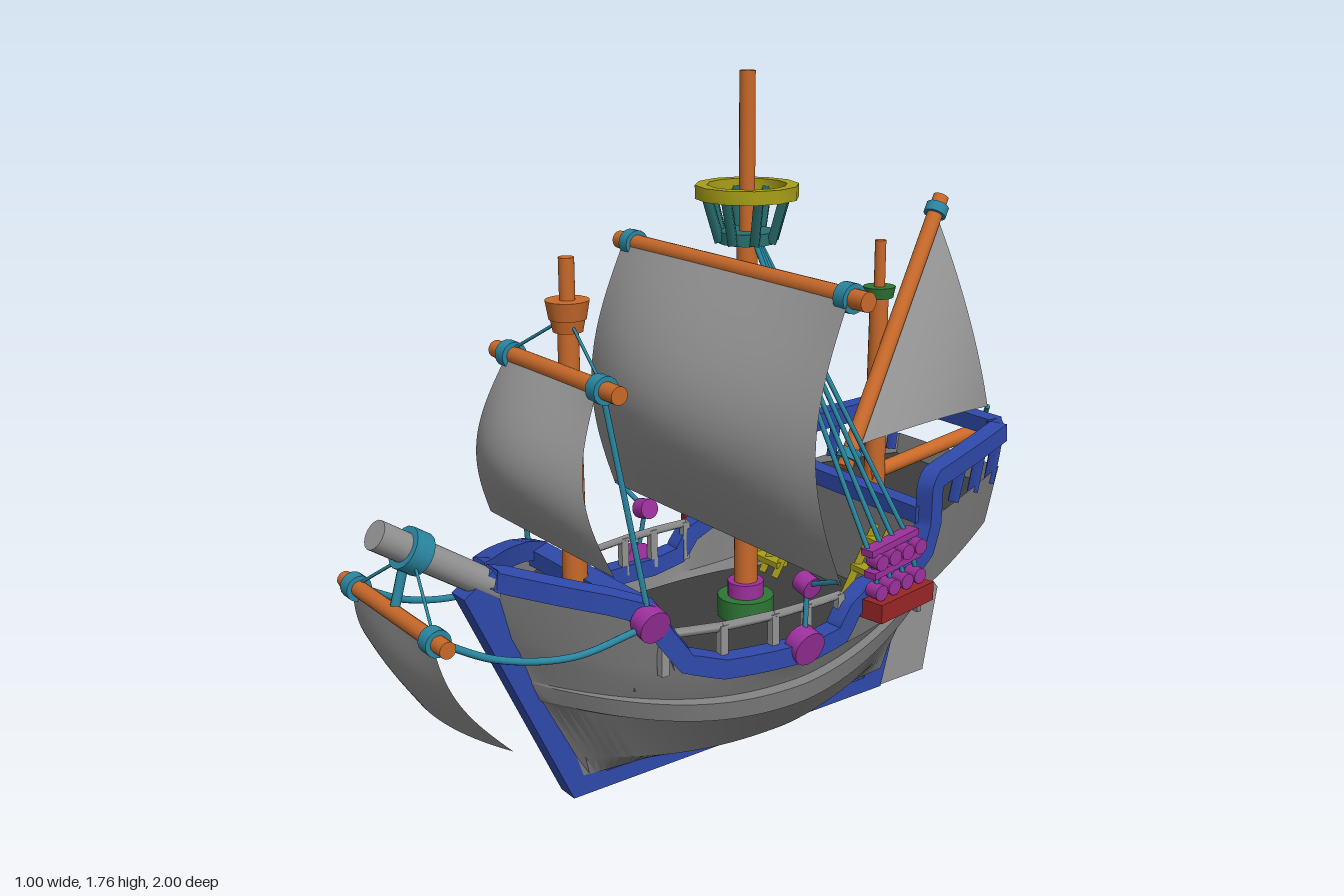
import * as THREE from 'three';
import { toCreasedNormals } from 'three/addons/utils/BufferGeometryUtils.js';

const V = (x, y, z) => new THREE.Vector3(x, y, z);
const { lerp, clamp } = THREE.MathUtils;
const mat = (color) => new THREE.MeshStandardMaterial({ color, side: THREE.DoubleSide });
const M = {
  grey: mat(0x949494), hull: mat(0x7c7c7c), deck: mat(0x3c3c3c), blue: mat(0x2f49aa), wood: mat(0xc8692a),
  teal: mat(0x2a87a2), nest: mat(0x28706f), purple: mat(0x9c309c), yellow: mat(0xa89f18), red: mat(0x9a2626), green: mat(0x2e7636),
};

// Piecewise linear lookup in [[x, y], ...]
function table(pts, x) {
  const i = Math.max(1, pts.findIndex((p, k) => p[0] >= x || k === pts.length - 1));
  const [a, b] = [pts[i - 1], pts[i]];
  return lerp(a[1], b[1], clamp((x - a[0]) / (b[0] - a[0]), 0, 1));
}

// Half-width along the hull: t = 0 at the stern, 1 at the bow
const width = (t, stern, mid) => t < 0.5
  ? lerp(mid, stern, (1 - 2 * t) ** 1.5) : lerp(mid, 0.03, (2 * t - 1) ** 2.6);
const beam = (z) => width(clamp((z + 0.81) / 1.51, 0, 1), 0.2, 0.345);
const SHEER = [[-0.81, 0.66], [-0.5, 0.61], [-0.42, 0.52], [-0.36, 0.48], [-0.17, 0.47], [-0.1, 0.39],
  [0.27, 0.39], [0.36, 0.43], [0.42, 0.56], [0.7, 0.64]];
const RAIL = [[-0.8, 0.765], [-0.47, 0.722], [-0.455, 0.7], [-0.452, 0.6], [-0.425, 0.535], [-0.36, 0.497],
  [-0.19, 0.49], [-0.13, 0.46], [-0.09, 0.405], [0, 0.39], [0.25, 0.4], [0.34, 0.43], [0.385, 0.5],
  [0.42, 0.565], [0.5, 0.595], [0.62, 0.627], [0.71, 0.65]];
// Hull lines from sheer to keel: [sternZ, bowZ, sternY, midY, bowY, sternWidth, midWidth]
const LINES = [
  [-0.81, 0.7, 0, 0, 0, 0.2, 0.345], [-0.775, 0.66, 0.5, 0.35, 0.48, 0.19, 0.325],
  [-0.64, 0.64, 0.43, 0.33, 0.44, 0.13, 0.31], [-0.62, 0.61, 0.325, 0.285, 0.355, 0.09, 0.295],
  [-0.62, 0.61, 0.32, 0.275, 0.35, 0.11, 0.315], [-0.61, 0.59, 0.27, 0.225, 0.3, 0.1, 0.31],
  [-0.6, 0.58, 0.26, 0.22, 0.29, 0.08, 0.285], [-0.56, 0.49, 0.12, 0.1, 0.115, 0.04, 0.195],
  [-0.54, 0.47, 0.06, 0.042, 0.055, 0.034, 0.045]];

// Surface from a grid of points, rows[i][j]
function gridGeometry(rows, crease) {
  const n = rows[0].length, idx = [];
  for (let i = 0; i < rows.length - 1; i++)
    for (let j = 0; j < n - 1; j++) {
      const a = i * n + j, b = a + n;
      idx.push(a, b, a + 1, b, b + 1, a + 1);
    }
  const g = new THREE.BufferGeometry().setFromPoints(rows.flat());
  g.setIndex(idx);
  g.computeVertexNormals();
  return crease ? toCreasedNormals(g, crease) : g;
}

export function createModel() {
  const ship = new THREE.Group();
  ship.name = 'sailingShip';
  const add = (name, geo, m, pos = V(0, 0, 0)) => {
    const mesh = new THREE.Mesh(geo, m);
    mesh.name = name;
    mesh.position.copy(pos);
    ship.add(mesh);
    return mesh;
  };
  const box = (name, w, h, d, p, m) => add(name, new THREE.BoxGeometry(w, h, d), m, p);
  // Cylinder from a to b
  const rod = (name, a, b, r, m, sides = 16, r2 = r) => {
    const d = b.clone().sub(a);
    const mesh = add(name, new THREE.CylinderGeometry(r2, r, d.length(), sides), m, a.clone().lerp(b, 0.5));
    mesh.quaternion.setFromUnitVectors(V(0, 1, 0), d.normalize());
  };
  const rope = (name, a, b, r = 0.007) => rod(name, a, b, r, M.teal, 6);
  const bothSides = (fn) => [1, -1].forEach(fn);

  // Hull shell and transom
  const half = (t) => LINES.map(([zs, zb, ys, ym, yb, ws, wm], k) => {
    const z = lerp(zs, zb, t);
    return V(width(t, ws, wm), k ? lerp(ym, t < 0.5 ? ys : yb, (2 * t - 1) ** 2) : table(SHEER, z), z);
  });
  const mirrored = (pts) => pts.map((p) => V(-p.x, p.y, p.z));
  const stations = Array.from({ length: 61 }, (_, i) => [...half(i / 60), ...mirrored(half(i / 60)).reverse()]);
  add('hull', gridGeometry(stations, 0.4), M.hull);
  add('transom', gridGeometry([half(0), mirrored(half(0))], 0.2), M.hull);

  // Keel with stem and sternpost, and the rudder: plates in the z-y plane
  const plate = (name, pts, thick, m) => {
    const s = new THREE.Shape(pts.map(([z, y]) => new THREE.Vector2(-z, y)));
    const g = new THREE.ExtrudeGeometry(s, { depth: thick, bevelEnabled: false });
    add(name, g.translate(0, 0, -thick / 2).rotateY(Math.PI / 2), m);
  };
  plate('keel', [[0.5, 0], [0.78, 0.61], [0.7, 0.665], [0.645, 0.55], [0.46, 0.1], [0.4, 0.045], [-0.48, 0.045],
    [-0.59, 0.43], [-0.665, 0.43], [-0.545, 0]], 0.06, M.blue);
  plate('rudder', [[-0.545, 0], [-0.72, 0], [-0.77, 0.25], [-0.69, 0.35], [-0.705, 0.47], [-0.65, 0.45]], 0.045, M.grey);

  // Decks, bulkheads and deck-edge beams
  const deck = (name, z0, z1, y, inset) => add(name, gridGeometry(Array.from({ length: 17 }, (_, i) => {
    const z = lerp(z0, z1, i / 16), w = beam(z) - inset;
    return [V(-w, y, z), V(w, y, z)];
  })), M.deck);
  deck('mainDeck', -0.45, 0.42, 0.345, 0.055);
  deck('poopDeck', -0.79, -0.45, 0.605, 0.015);
  deck('foreDeck', 0.42, 0.645, 0.53, 0.03);
  box('poopBulkhead', 0.54, 0.27, 0.015, V(0, 0.475, -0.45), M.hull);
  box('foreBulkhead', 0.4, 0.2, 0.015, V(0, 0.44, 0.42), M.hull);
  box('poopBeam', 0.56, 0.045, 0.05, V(0, 0.625, -0.44), M.blue);
  box('foreBeam', 0.48, 0.045, 0.06, V(0, 0.56, 0.425), M.blue);
  box('sternRail', 0.35, 0.045, 0.05, V(0, 0.77, -0.815), M.blue);

  // Stepped rail following the sheer, stern posts and the fence across the low waist
  bothSides((s) => {
    const path = RAIL.flatMap(([z, y], i) => (i ? [0.25, 0.5, 0.75, 1] : [1]).map((k) => {
      const [z0, y0] = RAIL[Math.max(i - 1, 0)], zk = lerp(z0, z, k);
      return V(s * beam(zk), lerp(y0, y, k), zk);
    }));
    add('rail', gridGeometry(path.map((p, i) => {
      const t = path[Math.min(i + 1, path.length - 1)].clone().sub(path[Math.max(i - 1, 0)]).normalize();
      const side = V(1, 0, -s * (beam(p.z + 0.01) - beam(p.z - 0.01)) / 0.02).normalize();
      const up = t.cross(side).normalize();
      return [[1, 1], [1, -1], [-1, -1], [-1, 1], [1, 1]].map(([a, b]) =>
        p.clone().addScaledVector(side, a * 0.025).addScaledVector(up, b * 0.025));
    }), 0.6), M.blue);
    rod('railCorner', V(s * 0.205, 0.765, -0.79), V(s * 0.165, 0.77, -0.82), 0.03, M.blue, 4);
    [-0.61, -0.71, -0.8].forEach((z) => rod('sternPost',
      V(s * (beam(z) - 0.005), 0.62, z + 0.025), V(s * beam(z), table(RAIL, z), z), 0.02, M.blue, 4));
    const fence = [-0.11, 0, 0.1, 0.24, 0.38].map((z) => V(s * (beam(z) - 0.015), 0.495, z));
    fence.forEach((p, i) => {
      if (i) rod('waistFence', fence[i - 1], p, 0.012, M.grey, 4);
      box('waistPost', 0.02, 0.11, 0.022, V(p.x, 0.445, p.z), M.grey);
    });
  });

  // Short stairs with three broad treads
  const stairs = (x, z0, y0, z1, y1) => {
    [-0.055, 0, 0.055].forEach((dx) => rod('stairSide', V(x + dx, y0, z0), V(x + dx, y1, z1), 0.014, M.yellow, 4));
    [1, 3, 5].forEach((k) => box('stairTread', 0.125, 0.016, 0.038, V(x, lerp(y0, y1, k / 6), lerp(z0, z1, k / 6)), M.yellow));
  };
  bothSides((s) => stairs(s * 0.19, -0.28, 0.35, -0.41, 0.56));
  stairs(-0.035, 0.26, 0.35, 0.39, 0.53);

  // Masts with their feet, bands and collars
  const ring = (name, y0, y1, z, r, m, r2 = r) => rod(name, V(0, y0, z), V(0, y1, z), r, m, 16, r2);
  const ZM = -0.07;
  ring('mainMast', 0.34, 1.36, ZM, 0.032, M.wood, 0.026);
  ring('mainTopmast', 1.34, 1.765, ZM, 0.02, M.wood);
  ring('mastFoot', 0.34, 0.4, ZM, 0.075, M.green);
  ring('mastCollar', 0.4, 0.44, ZM, 0.048, M.purple);
  [0.625, 0.7].forEach((y) => ring('mastBand', y, y + 0.035, ZM, 0.043, M.teal));
  ring('foreMast', 0.53, 1.21, 0.46, 0.032, M.wood, 0.025);
  ring('foreTopmast', 1.2, 1.37, 0.46, 0.019, M.wood);
  ring('foreTopBase', 1.195, 1.225, 0.46, 0.036, M.wood, 0.042);
  ring('foreTop', 1.225, 1.27, 0.46, 0.045, M.wood, 0.053);
  ring('mizzenMast', 0.6, 1.15, -0.525, 0.03, M.wood, 0.025);
  ring('mizzenTopmast', 1.15, 1.3, -0.525, 0.015, M.wood);
  ring('mizzenCollar', 1.145, 1.175, -0.525, 0.038, M.green, 0.044);

  // Lookout: floor, slanted posts and hoop
  ring('lookoutFloor', 1.345, 1.375, ZM, 0.072, M.nest);
  for (let i = 0; i < 8; i++) {
    const a = (i + 0.5) * Math.PI / 4, c = Math.cos(a), d = Math.sin(a);
    rod('lookoutPost', V(0.07 * c, 1.35, ZM + 0.07 * d), V(0.105 * c, 1.47, ZM + 0.105 * d), 0.016, M.nest, 4);
  }
  const hoop = [[0.1, 1.456], [0.13, 1.456], [0.13, 1.49], [0.1, 1.49], [0.1, 1.456]].map((p) => new THREE.Vector2(...p));
  add('lookoutHoop', toCreasedNormals(new THREE.LatheGeometry(hoop, 12), 0.6), M.yellow, V(0, 0, ZM));

  // Banded yards and bellied square sails (x = half-width, hem = forward bow of the lower edge)
  const squareSail = (name, top, bottom, edge, centre, hem = 0) =>
    add(name, gridGeometry(Array.from({ length: 19 }, (_, i) => {
      const v = i / 18, p = top.clone().lerp(bottom, v), belly = Math.sin(Math.PI * v);
      return Array.from({ length: 21 }, (_, j) => {
        const u = j / 10 - 1;
        return V(u * p.x, p.y, p.z + belly * lerp(centre, edge, u * u) + hem * v * v * (1 - u * u));
      });
    })), M.grey);
  const yard = (name, y, z, length, band, r) => {
    rod(name, V(-length, y, z), V(length, y, z), r, M.wood);
    bothSides((s) => rod('yardBand', V(s * (band - 0.018), y, z), V(s * (band + 0.018), y, z), r + 0.012, M.teal));
  };
  yard('mainYard', 1.285, -0.025, 0.5, 0.435, 0.024);
  squareSail('mainSail', V(0.455, 1.285, -0.005), V(0.48, 0.6, 0.02), 0.09, 0.19);
  yard('foreYard', 1.105, 0.5, 0.27, 0.2, 0.022);
  squareSail('foreSail', V(0.2, 1.1, 0.515), V(0.28, 0.685, 0.53), 0.06, 0.12);
  yard('spritYard', 0.612, 0.943, 0.255, 0.195, 0.02);
  squareSail('spritSail', V(0.2, 0.6, 0.95), V(0.265, 0.33, 0.8), 0.035, 0.045, 0.06);

  // Bowsprit with ring and hanger
  rod('bowsprit', V(0, 0.555, 0.6), V(0, 0.808, 0.977), 0.036, M.grey);
  rod('bowspritRing', V(0, 0.735, 0.868), V(0, 0.763, 0.91), 0.052, M.teal);
  rod('spritHanger', V(0, 0.745, 0.905), V(0, 0.612, 0.943), 0.012, M.teal, 8);

  // Lateen yard and its triangular sail
  const along = (k) => V(-0.045, 1.385, -0.79).lerp(V(0.115, 0.735, -0.31), k);
  rod('lateenYard', along(0), along(1), 0.022, M.wood);
  [0.035, 0.94].forEach((k) => rod('lateenBand', along(k), along(k + 0.035), 0.032, M.teal));
  const clew = V(0.12, 0.81, -0.84);
  add('lateenSail', gridGeometry(Array.from({ length: 17 }, (_, i) => Array.from({ length: 17 }, (_, j) => {
    const v = i / 16, u = j / 16, sag = v * (1 - v);
    return along(lerp(0.06, 0.93, u)).lerp(clew, v).add(V(0.16 * sag, 0.1 * sag * u, 0.06 * sag * (1 - u)));
  }))), M.grey);

  // Stern boom and sheet
  rod('sternBoom', V(0, 0.645, -0.5), V(0, 0.705, -0.998), 0.021, M.wood);
  rod('boomBand', V(0, 0.697, -0.935), V(0, 0.702, -0.97), 0.032, M.teal);
  rope('lateenSheet', V(0, 0.715, -0.95), clew);

  // Rigging: pulleys, running ropes, and shrouds set up on a side platform
  bothSides((s) => {
    [[0.275, 0.545, 0.43, 0.042], [0.36, 0.41, 0.03, 0.046], [0.345, 0.56, 0.012, 0.028]].forEach(([x, y, z, r]) =>
      rod('pulley', V(s * (x - 0.022), y + 0.005, z), V(s * (x + 0.022), y - 0.005, z), r, M.purple));
    rope('mainSheet', V(s * 0.36, 0.42, 0.03), V(s * 0.345, 0.56, 0.012));
    rope('mainClewLine', V(s * 0.345, 0.56, 0.012), V(s * 0.47, 0.61, 0.02));
    rope('foreLift', V(s * 0.2, 1.115, 0.5), V(0, 1.23, 0.46), 0.004);
    rope('foreBrace', V(s * 0.2, 1.105, 0.5), V(s * 0.27, 0.56, 0.43));
    rope('spritLift', V(s * 0.195, 0.615, 0.943), V(0, 0.745, 0.89), 0.004);
    const slack = [[0.195, 0.612, 0.943], [0.215, 0.535, 0.8], [0.24, 0.5, 0.62], [0.27, 0.535, 0.45]];
    add('spritBrace', new THREE.TubeGeometry(new THREE.CatmullRomCurve3(
      slack.map(([x, y, z]) => V(s * x, y, z))), 24, 0.009, 8), M.teal);
    box('shroudPlatform', 0.07, 0.05, 0.215, V(s * 0.372, 0.458, -0.268), M.red).rotation.y = s * 0.16;
    [[0.372, 0.56], [0.36, 0.615]].forEach(([x, y]) =>
      box('shroudBar', 0.036, 0.018, 0.19, V(s * x, y, -0.25), M.purple).rotation.set(0.06, s * 0.16, 0));
    for (let i = 0; i < 4; i++) {
      const z = -0.185 - i * 0.052, x = 0.372 + 0.16 * (z + 0.26);
      rope('shroud', V(s * (x - 0.012), 0.6, z + 0.015), V(s * 0.02, 1.345, ZM - 0.01 - i * 0.005));
      rope('lanyard', V(s * x, 0.48, z - 0.012), V(s * (x - 0.012), 0.61, z + 0.015));
      [0.505, 0.585].forEach((y) => rod('deadeye', V(s * (x - 0.02), y, z), V(s * (x + 0.02), y, z), 0.021, M.purple, 10));
    }
  });
  return ship;
}
